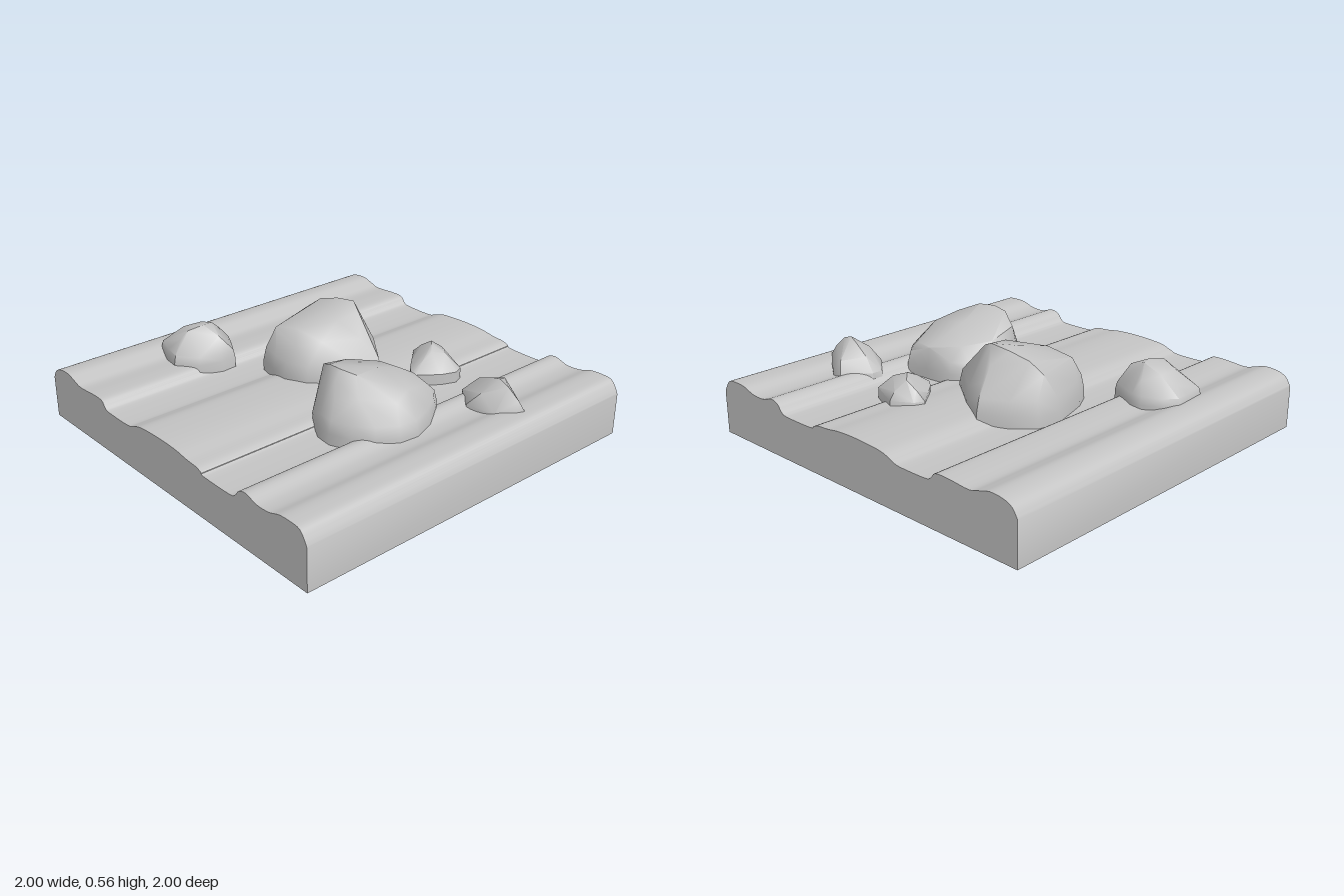
import * as THREE from 'three';
import { toCreasedNormals } from 'three/addons/utils/BufferGeometryUtils.js';
import { ConvexGeometry } from 'three/addons/geometries/ConvexGeometry.js';

const stone = new THREE.MeshStandardMaterial({ color: 0xc4c4c4 });
stone.name = 'grey stone';

// Rippled slab: one wavy profile (z, y) swept along x
function makeSlab() {
  const profile = [
    [1, 0.22], [0.985, 0.25], [0.955, 0.285], [0.9, 0.292], [0.83, 0.288], [0.76, 0.267], [0.68, 0.264],
    [0.61, 0.284], [0.56, 0.272], [0.53, 0.238], [0.49, 0.225], [0.31, 0.225], [0.285, 0.238],
    [0.25, 0.25], [0.18, 0.255], [0.1, 0.266], [0, 0.27], [-0.12, 0.266], [-0.2, 0.258], [-0.26, 0.238],
    [-0.31, 0.225], [-0.47, 0.225], [-0.505, 0.238], [-0.535, 0.267], [-0.62, 0.268], [-0.73, 0.26],
    [-0.79, 0.275], [-0.85, 0.291], [-0.92, 0.286], [-0.97, 0.265], [-1, 0.22],
  ].map(([z, y]) => new THREE.Vector2(z, y));
  const shape = new THREE.Shape();
  shape.moveTo(-1, 0).lineTo(1, 0).lineTo(1, 0.22);
  const wave = new THREE.SplineCurve(profile).getPoints(120);
  wave.slice(1).forEach((p) => shape.lineTo(Math.max(-1, Math.min(1, p.x)), p.y));
  shape.closePath();
  const geo = new THREE.ExtrudeGeometry(shape, { depth: 2, bevelEnabled: false });
  geo.rotateY(-Math.PI / 2).translate(1, 0, 0);
  return toCreasedNormals(geo, 0.6);
}

// Boulder: hull of a ground outline (x, z), a slightly drawn-in waist, and crown points (x, y, z)
function makeRock({ outline, waist, crown }) {
  const n = outline.length;
  const cx = outline.reduce((s, p) => s + p[0], 0) / n;
  const cz = outline.reduce((s, p) => s + p[1], 0) / n;
  const points = crown.map((p) => new THREE.Vector3(...p));
  for (const [x, z] of outline) {
    points.push(new THREE.Vector3(x, 0.2, z));
    points.push(new THREE.Vector3(x, 0.28, z));
    points.push(new THREE.Vector3(cx + (x - cx) * 0.95, waist, cz + (z - cz) * 0.95));
  }
  return toCreasedNormals(new ConvexGeometry(points), 0.75);
}

const rocks = {
  backBoulder: {
    waist: 0.35,
    outline: [
      [-0.15, -0.36], [-0.06, -0.41], [0.17, -0.48], [0.29, -0.46], [0.38, -0.36], [0.45, -0.22], [0.36, -0.06],
      [0.21, 0.14], [0.08, 0.13], [-0.03, 0.08], [-0.14, -0.02], [-0.19, -0.14], [-0.18, -0.24],
    ],
    crown: [
      [0.27, 0.56, -0.14], [0.18, 0.543, -0.2], [0.26, 0.545, -0.25], [0.24, 0.515, -0.36], [0.22, 0.46, -0.43],
      [-0.06, 0.48, -0.2], [-0.08, 0.45, -0.34], [-0.13, 0.43, -0.12], [-0.04, 0.46, -0.03],
      [0.1, 0.52, -0.07], [0.24, 0.53, -0.07], [0.16, 0.44, 0.03], [0.34, 0.48, -0.2], [0.39, 0.41, -0.2],
    ],
  },
  frontBoulder: {
    waist: 0.34,
    outline: [
      [-0.41, 0.45], [-0.4, 0.36], [-0.33, 0.24], [-0.24, 0.16], [-0.1, 0.1], [0, 0.1], [0.12, 0.16], [0.18, 0.24],
      [0.19, 0.4], [0.195, 0.54], [0.13, 0.6], [0.02, 0.67], [-0.1, 0.71], [-0.2, 0.7], [-0.3, 0.64], [-0.37, 0.56],
    ],
    crown: [
      [-0.26, 0.525, 0.36], [-0.24, 0.52, 0.45], [-0.25, 0.515, 0.27], [-0.2, 0.465, 0.17], [-0.31, 0.49, 0.38],
      [-0.35, 0.42, 0.42], [-0.3, 0.45, 0.52], [-0.17, 0.48, 0.54], [-0.05, 0.44, 0.59], [-0.16, 0.42, 0.63],
      [-0.05, 0.475, 0.38], [0.1, 0.425, 0.38], [0.17, 0.385, 0.4], [0.14, 0.38, 0.53], [0.1, 0.41, 0.24],
      [-0.03, 0.43, 0.15],
    ],
  },
  rearRock: {
    waist: 0.32,
    outline: [
      [-0.46, -0.83], [-0.34, -0.845], [-0.26, -0.85], [-0.2, -0.8], [-0.155, -0.7], [-0.155, -0.64],
      [-0.2, -0.55], [-0.24, -0.48], [-0.32, -0.475], [-0.44, -0.51], [-0.52, -0.62], [-0.5, -0.72],
    ],
    crown: [
      [-0.34, 0.445, -0.61], [-0.28, 0.44, -0.62], [-0.42, 0.43, -0.63], [-0.46, 0.39, -0.64], [-0.31, 0.405, -0.52],
      [-0.38, 0.41, -0.73], [-0.27, 0.405, -0.73], [-0.21, 0.38, -0.66], [-0.31, 0.36, -0.8],
    ],
  },
  sidePebble: {
    waist: 0.28,
    outline: [
      [0.51, 0.065], [0.56, 0.09], [0.62, 0.19], [0.58, 0.26], [0.54, 0.37], [0.49, 0.39], [0.41, 0.36],
      [0.31, 0.28], [0.31, 0.25], [0.35, 0.2], [0.42, 0.14],
    ],
    crown: [
      [0.48, 0.38, 0.22], [0.53, 0.365, 0.17], [0.44, 0.36, 0.26], [0.5, 0.35, 0.3], [0.38, 0.33, 0.26],
      [0.59, 0.32, 0.19], [0.52, 0.325, 0.11],
    ],
  },
  frontPebble: {
    waist: 0.28,
    outline: [
      [0.37, 0.54], [0.43, 0.54], [0.47, 0.58], [0.56, 0.64], [0.555, 0.7], [0.5, 0.78], [0.41, 0.91],
      [0.36, 0.89], [0.29, 0.82], [0.27, 0.66], [0.33, 0.61],
    ],
    crown: [
      [0.385, 0.415, 0.76], [0.4, 0.395, 0.7], [0.38, 0.395, 0.82], [0.42, 0.35, 0.6], [0.39, 0.34, 0.88],
      [0.3, 0.35, 0.72], [0.46, 0.37, 0.7], [0.53, 0.34, 0.67],
    ],
  },
};

export function createModel() {
  const group = new THREE.Group();
  group.name = 'rocksOnSlab';
  const add = (name, geometry) => {
    const mesh = new THREE.Mesh(geometry, stone);
    mesh.name = name;
    group.add(mesh);
  };
  add('rippledSlab', makeSlab());
  for (const [name, spec] of Object.entries(rocks)) add(name, makeRock(spec));
  return group;
}
